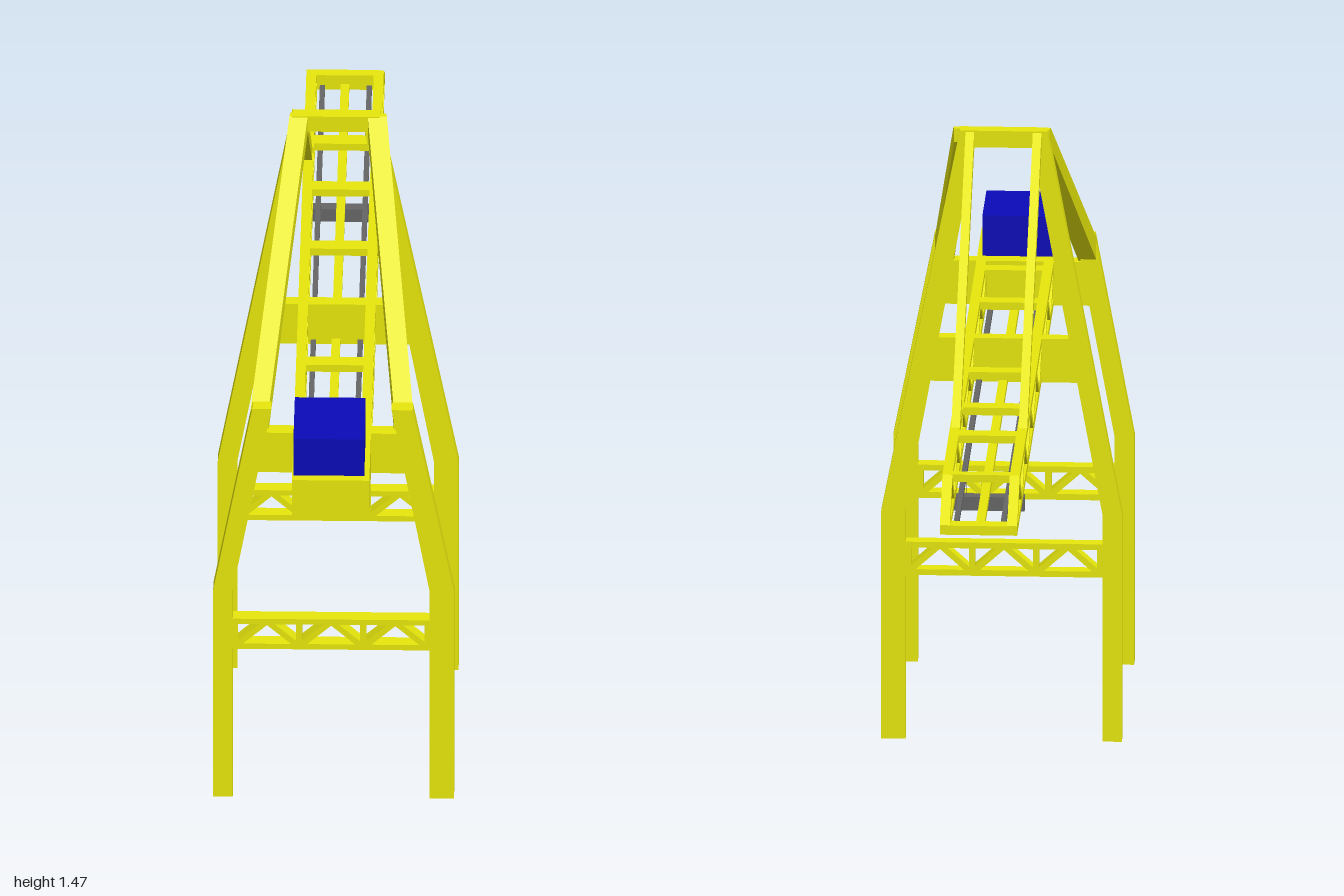
import * as THREE from 'three';

const paint = (color) => new THREE.MeshStandardMaterial({ color, flatShading: true });
const yellow = paint(0xe6e60c), blue = paint(0x0b0bb8), grey = paint(0x666666);

export function createModel() {
  const root = new THREE.Group();

  const add = (name, geometry, material = yellow, parent = root) => {
    const mesh = new THREE.Mesh(geometry, material);
    mesh.name = name;
    parent.add(mesh);
    return mesh;
  };

  // Box given by its limits on each axis
  const block = (name, x0, x1, y0, y1, z0, z1, material, parent) => {
    const g = new THREE.BoxGeometry(x1 - x0, y1 - y0, z1 - z0);
    g.translate((x0 + x1) / 2, (y0 + y1) / 2, (z0 + z1) / 2);
    return add(name, g, material, parent);
  };

  const shapeOf = (pts) => new THREE.Shape(pts.map(([x, y]) => new THREE.Vector2(x, y)));
  const extrude = (shape, depth) => new THREE.ExtrudeGeometry(shape, { depth, bevelEnabled: false });

  // Outline in x,y pushed along z
  const frontPlate = (shape, z0, z1) => extrude(shape, z1 - z0).translate(0, 0, z0);
  // Outline in z,y pushed along x
  const sidePlate = (shape, x0, x1) => extrude(shape, x1 - x0).rotateY(-Math.PI / 2).translate(x1, 0, 0);

  // Cut a triangular opening, leaving half a bar width t along each edge
  const cutTriangle = (shape, corners, t) => {
    const p = corners.map(([x, y]) => new THREE.Vector2(x, y));
    const len = [p[1].distanceTo(p[2]), p[2].distanceTo(p[0]), p[0].distanceTo(p[1])];
    const sum = len[0] + len[1] + len[2];
    const centre = new THREE.Vector2();
    p.forEach((v, i) => centre.addScaledVector(v, len[i] / sum));
    const area = Math.abs((p[1].x - p[0].x) * (p[2].y - p[0].y) - (p[2].x - p[0].x) * (p[1].y - p[0].y)) / 2;
    const scale = 1 - (t / 2) / (2 * area / sum);
    shape.holes.push(new THREE.Path(p.map((v) => v.clone().sub(centre).multiplyScalar(scale).add(centre))));
  };

  // Portal frames: bent legs, girder plate and lattice tie
  const legs = [
    { name: 'rightLeg', out: [-0.278, -0.107], inn: [-0.233, -0.064] },
    { name: 'leftLeg', out: [0.276, 0.095], inn: [0.22, 0.053] },
  ];
  const bendY = 0.55, apexY = 1.47;
  const buildFrame = (name, z0, z1, topY) => {
    const frame = new THREE.Group();
    frame.name = name;
    root.add(frame);
    const k = (topY - bendY) / (apexY - bendY);
    for (const { name: legName, out, inn } of legs) {
      const outline = shapeOf([
        [out[0], 0], [inn[0], 0], [inn[0], bendY],
        [THREE.MathUtils.lerp(inn[0], inn[1], k), topY],
        [THREE.MathUtils.lerp(out[0], out[1], k), topY], [out[0], bendY],
      ]);
      add(legName, frontPlate(outline, z0, z1), yellow, frame);
    }
    block('girderPlate', -0.182, 0.168, 0.865, 0.97, z0, z1, yellow, frame);

    // Lattice tie in three panels
    const x0 = -0.235, x1 = 0.222, yb = 0.395, yt = 0.475, t = 0.014;
    const tie = shapeOf([[x0, yb], [x1, yb], [x1, yt], [x0, yt]]);
    const lo = yb + t / 2, hi = yt - t / 2, w = (x1 - x0 - t) / 3;
    for (let i = 0; i < 3; i++) {
      const a = x0 + t / 2 + i * w, m = a + w / 2, b = a + w;
      cutTriangle(tie, [[a, lo], [a, hi], [m, hi]], t);
      cutTriangle(tie, [[a, lo], [m, hi], [b, lo]], t);
      cutTriangle(tie, [[m, hi], [b, hi], [b, lo]], t);
    }
    add('latticeTie', frontPlate(tie, z0 + 0.002, z1 + 0.002), yellow, frame);
    return frame;
  };
  buildFrame('frontFrame', 0.75, 0.785, 1.033);
  const mast = buildFrame('mastFrame', 0.165, 0.198, apexY);
  block('mastHead', -0.1, 0.09, 1.43, 1.47, 0.165, 0.198, yellow, mast);

  // Boom: two lattice sides with a sloping nose
  const boom = new THREE.Group();
  boom.name = 'boom';
  root.add(boom);
  const bottom = 0.865, top = 0.97, bar = 0.017, pitch = 0.2735;
  const low = bottom + bar / 2, high = top - bar / 2;
  const joints = [[0.75, low]];
  for (let i = 0; i < 6; i++) {
    joints.push([0.75 - i * pitch, high], [0.615 - i * pitch, low]);
  }
  joints.push([-0.878, high], [-0.987, low]);
  const sides = [[-0.093, -0.07], [0.062, 0.085]];
  for (const [x0, x1] of sides) {
    const side = shapeOf([[0.76, bottom], [0.76, top], [-0.872, top], [-1, 0.888], [-1, bottom]]);
    for (let i = 0; i + 2 < joints.length; i++) cutTriangle(side, joints.slice(i, i + 3), bar);
    add('latticeSide', sidePlate(side, x0, x1), yellow, boom);
  }

  // Cross members along the top of the boom
  for (const [z, w] of [[-0.86, 0.026], [-0.555, 0.04], [-0.345, 0.038], [-0.075, 0.038], [0.455, 0.038], [0.7, 0.038]]) {
    block('crossMember', -0.075, 0.067, top - 0.018, top, z - w / 2, z + w / 2, yellow, boom);
  }
  block('noseMember', -0.075, 0.067, bottom, bottom + 0.022, -1, -0.962, yellow, boom);

  // Runway under the boom
  block('centreBeam', -0.016, 0.004, bottom, bottom + 0.015, -0.99, 0.76, yellow, boom);
  for (const x of [-0.058, 0.05]) {
    block('trolleyRail', x - 0.006, x + 0.006, bottom, bottom + 0.012, -0.99, 0.76, grey, boom);
  }

  // Counterweight and machine house
  block('counterweight', -0.093, 0.085, bottom, top, 0.75, 1);
  block('machineHouse', -0.09, 0.073, top, 1.067, 0.788, 0.978, blue);

  // Front stays run straight down to the boom
  const frontStay = shapeOf([[0.17, 1.47], [0.17, 1.428], [-0.466, 0.965], [-0.522, 0.965]]);
  for (const [x0, x1] of [[-0.093, -0.073], [0.062, 0.082]]) {
    add('boomStay', sidePlate(frontStay, x0, x1));
  }

  // Back stays spread outwards to the front frame
  const backStay = shapeOf([[0.18, 1.47], [0.195, 1.47], [0.765, 1.02], [0.765, 0.965], [0.18, 1.437]]);
  for (const [x0, x1, spread] of [[-0.113, -0.071, -0.14], [0.067, 0.111, 0.124]]) {
    const g = sidePlate(backStay, x0, x1);
    const pos = g.attributes.position;
    for (let i = 0; i < pos.count; i++) {
      pos.setX(i, pos.getX(i) + (pos.getZ(i) - 0.195) * spread);
    }
    g.computeVertexNormals();
    add('backStay', g);
  }

  // Hanging load spreader
  block('spreader', -0.088, 0.087, 0.777, 0.81, -0.538, -0.51, grey);
  for (const x of [-0.054, 0.047]) {
    block('hoistRope', x - 0.001, x + 0.001, 0.805, 0.872, -0.525, -0.523, grey);
  }

  return root;
}
